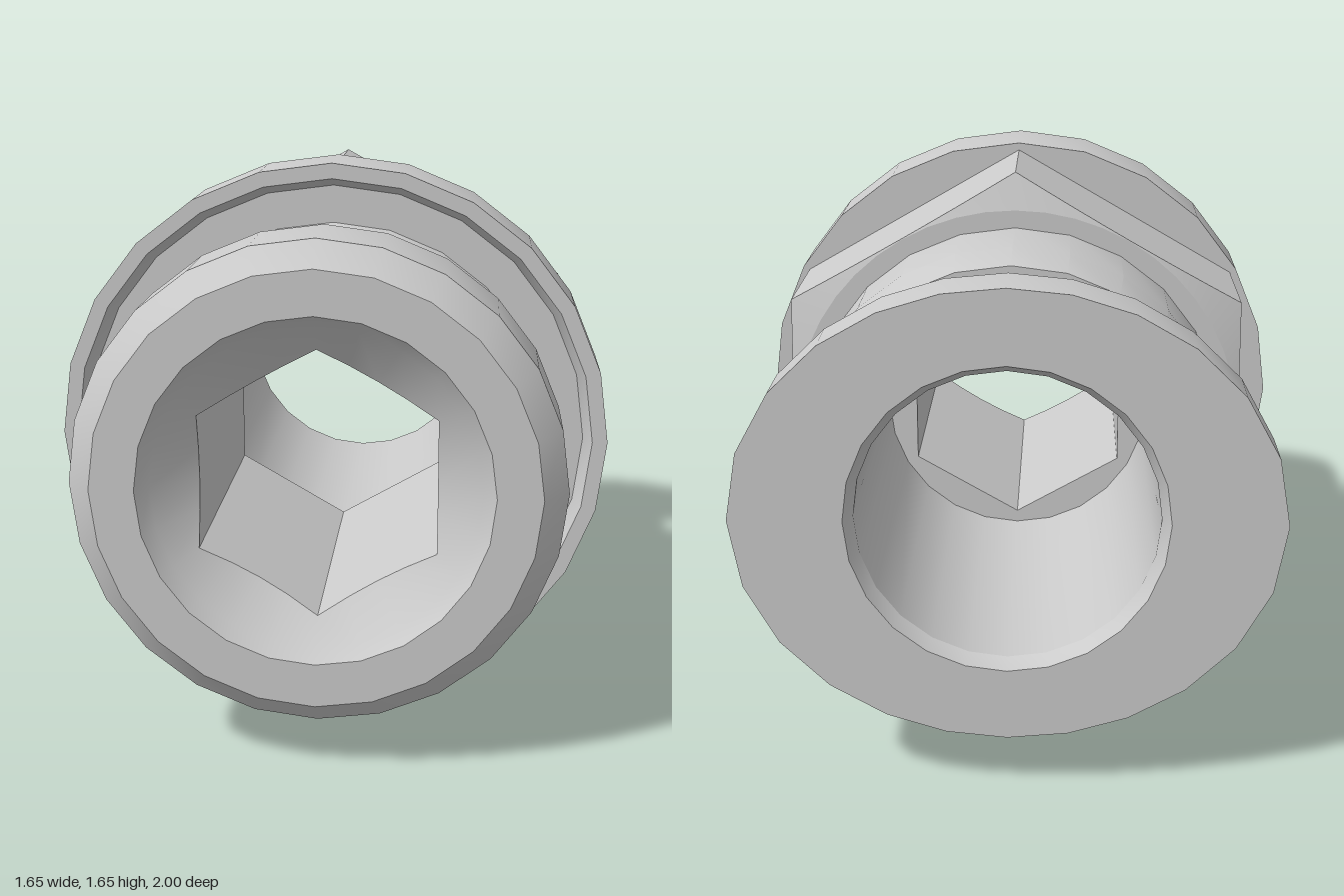
import * as THREE from 'three';
import { toCreasedNormals } from 'three/addons/utils/BufferGeometryUtils.js';

const SIDES = 24;
const AXIS_Y = 0.825;

// Radius of a hexagon (corners up and down) in direction t
function hexRadius(apothem, t) {
  const third = Math.PI / 3;
  const a = (((t - Math.PI / 2) % third) + third) % third;
  return apothem / Math.cos(a - third / 2);
}

// Radius of an ellipse in direction t
function ovalRadius(rx, ry, t) {
  return (rx * ry) / Math.hypot(ry * Math.cos(t), rx * Math.sin(t));
}

// Sweeps a profile of [radius, z] points round the z axis; it may vary with the angle
function sweep(profileAt, sides = SIDES) {
  const positions = [];
  const index = [];
  let rows = 0;
  for (let j = 0; j < sides; j++) {
    const t = (j / sides) * Math.PI * 2;
    const profile = profileAt(t);
    rows = profile.length;
    for (const [r, z] of profile) positions.push(r * Math.cos(t), r * Math.sin(t), z);
  }
  for (let j = 0; j < sides; j++) {
    const next = (j + 1) % sides;
    for (let i = 0; i < rows - 1; i++) {
      const a = j * rows + i;
      const b = next * rows + i;
      index.push(a, a + 1, b + 1, a, b + 1, b);
    }
  }
  const geometry = new THREE.BufferGeometry();
  geometry.setAttribute('position', new THREE.Float32BufferAttribute(positions, 3));
  geometry.setIndex(index);
  return toCreasedNormals(geometry, 0.3);
}

export function createModel() {
  const model = new THREE.Group();
  model.name = 'pipeFitting';
  const material = new THREE.MeshStandardMaterial({ color: 0xcccccc });

  function add(name, profileAt, sides) {
    const mesh = new THREE.Mesh(sweep(profileAt, sides), material);
    mesh.name = name;
    mesh.position.y = AXIS_Y;
    model.add(mesh);
  }

  // Chamfered front end with its narrow neck
  add('frontSpigot', () => [
    [0.49, 1], [0.615, 1], [0.685, 0.93], [0.685, 0.68],
    [0.6, 0.63], [0.6, 0.46], [0.645, 0.37],
  ]);

  // Flange with a shallow recess in its front face
  add('flange', () => [
    [0.645, 0.37], [0.755, 0.37], [0.78, 0.425], [0.825, 0.425], [0.825, 0.18], [0.6, 0.18],
  ]);

  // Hexagon nut, its back corners cut by a cone
  add('hexNut', (t) => {
    const r = hexRadius(0.695, t);
    const edge = -0.235 + (0.035 * (r - 0.695)) / 0.107;
    return [[r, 0.18], [r, edge], [0.693, -0.236], [0.6, -0.236]];
  }, 48);

  // Tapered rear body and stepped neck
  add('rearBody', () => [
    [0.64, -0.2], [0.64, -0.48], [0.615, -0.605], [0.55, -0.605],
    [0.55, -0.735], [0.48, -0.735], [0.48, -0.85],
  ]);

  // Oval release collar
  add('releaseCollar', (t) => {
    const r = ovalRadius(0.76, 0.655, t);
    return [[0.46, -0.84], [r, -0.84], [r, -1], [0.445, -1]];
  });

  // Round bore from the back, stepping in to the hexagon
  add('rearBore', (t) => [
    [0.445, -1], [0.42, -0.96], [0.42, 0], [hexRadius(0.33, t), 0],
  ]);

  // Hexagon socket with a conical entry at the front
  add('hexSocket', (t) => {
    const r = hexRadius(0.33, t);
    const entry = 0.96 - (0.455 - r) * 0.7;
    return [[r, 0], [r, entry], [0.455, 0.96], [0.49, 1]];
  });

  return model;
}
